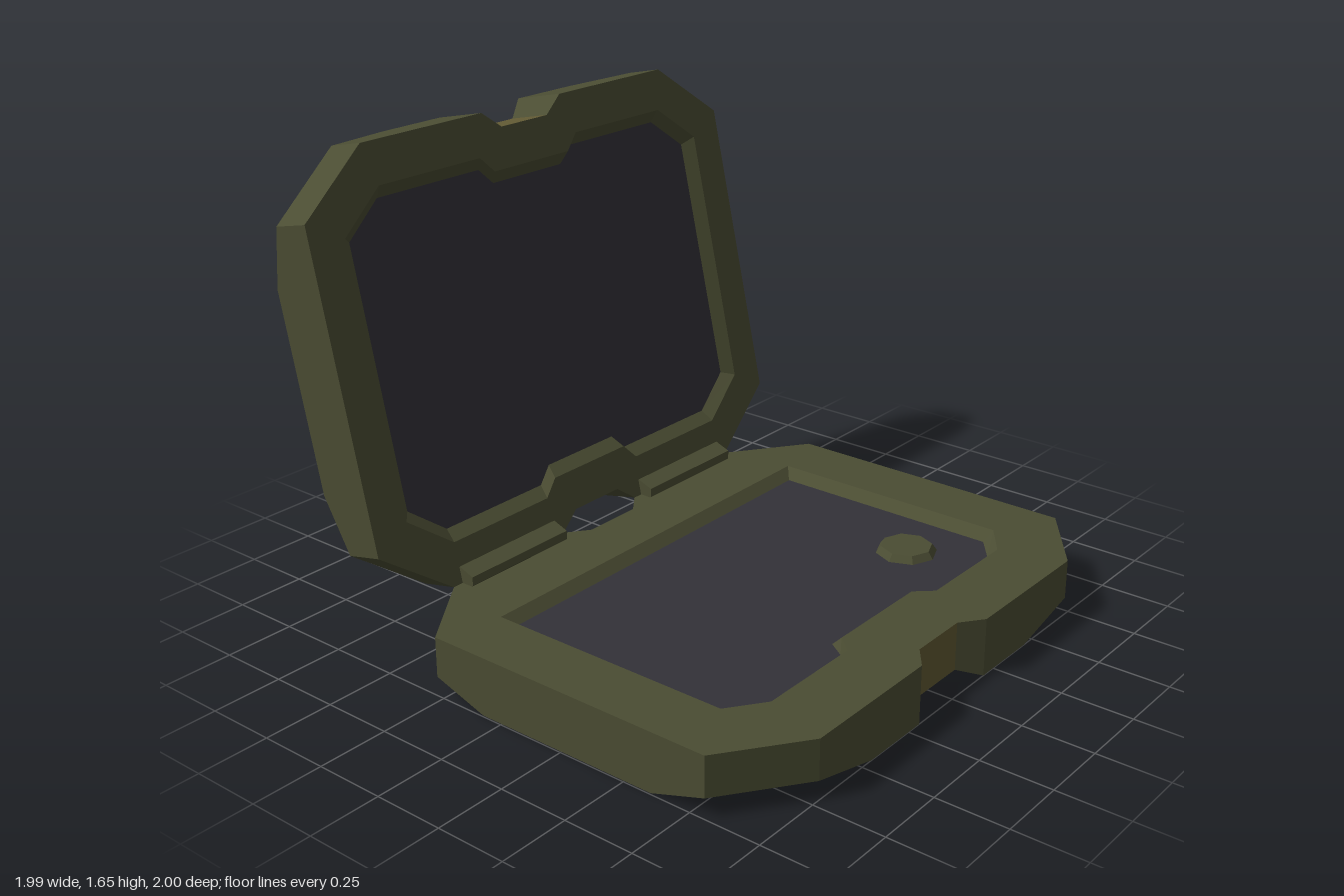
import * as THREE from 'three';
import { mergeGeometries } from 'three/addons/utils/BufferGeometryUtils.js';

const TOP = 0.205, FLOOR = 0.17, CHANNEL = 0.035, CHAMFER = 0.065;

const paint = (color) => new THREE.MeshStandardMaterial({ color, flatShading: true, side: THREE.DoubleSide });

// Outlines are lists of [x, z], running from front to back on the +x side
const mirrorZ = (q) => [...q, ...q.map(([x, z]) => [x, -z]).reverse()];
const closeX = (h) => [...h, ...h.map(([x, z]) => [-x, z]).reverse()];
const turn = (h) => h.map(([x, z]) => [-x, -z]);
const lift = (pts, y) => pts.map(([x, z]) => [x, y, z]);

// Flat polygon at height y, facing up or down, with an optional hole
function cap(pts, y, up, hole) {
  const s = up ? -1 : 1;
  const flat = (list) => list.map(([x, z]) => new THREE.Vector2(x, s * z));
  const shape = new THREE.Shape(flat(pts));
  if (hole) shape.holes.push(new THREE.Path(flat(hole)));
  const g = new THREE.ShapeGeometry(shape).toNonIndexed();
  g.rotateX(s * Math.PI / 2).translate(0, y, 0);
  g.deleteAttribute('uv');
  return g;
}

// Strip of quads between two matching rows of points
function band(a, b, closed = false) {
  const pos = [];
  const n = closed ? a.length : a.length - 1;
  for (let i = 0; i < n; i++) {
    const j = (i + 1) % a.length;
    pos.push(...a[i], ...b[i], ...b[j], ...a[i], ...b[j], ...a[j]);
  }
  const g = new THREE.BufferGeometry();
  g.setAttribute('position', new THREE.Float32BufferAttribute(pos, 3));
  g.computeVertexNormals();
  return g;
}

function addMesh(group, name, geometries, material) {
  const mesh = new THREE.Mesh(mergeGeometries(geometries), material);
  mesh.name = name;
  group.add(mesh);
}

// One half of the case: rim, recess, chamfered shell and a channel in the outer face
function caseHalf(name, opening, floor, channelOuter, channelInner, mats) {
  const group = new THREE.Group();
  group.name = name;

  // Outer edge of a quarter: x, z and height of the lower edge
  const quarter = [
    [0.11, 0.68, CHANNEL], [0.19, 0.74, 0], [0.45, 0.74, 0],
    [0.72, 0.74, CHAMFER], [0.995, 0.54, CHAMFER], [0.995, 0.34, 0],
  ];
  const half = mirrorZ(quarter);
  const heights = [...quarter, ...[...quarter].reverse()].map((p) => p[2]);
  const openLoop = closeX(opening), floorLoop = closeX(floor);

  const shell = [
    cap(closeX(half), TOP, true, openLoop),
    band(lift(floorLoop, FLOOR), lift(openLoop, TOP), true),
  ];
  const outer = mirrorZ(channelOuter), inner = mirrorZ(channelInner);
  const flatHalf = [...outer, [0.45, -0.74], [0.995, -0.34], [0.995, 0.34], [0.45, 0.74]];
  for (const side of [(p) => p, turn]) {
    // side walls, outer face and channel slopes
    const wall = side(half);
    shell.push(band(lift(wall, TOP), wall.map(([x, z], i) => [x, heights[i], z])));
    shell.push(cap(side(flatHalf), 0, false));
    shell.push(band(lift(side(outer), 0), lift(side(inner), CHANNEL)));
  }
  // corner chamfers
  for (const sx of [1, -1]) for (const sz of [1, -1]) {
    const place = (x, y, z) => [sx * x, y, sz * z];
    const a = [place(0.72, CHAMFER, 0.74), place(0.995, CHAMFER, 0.54)];
    const b = [place(0.45, 0, 0.74), place(0.995, 0, 0.34)];
    if (sx * sz < 0) { a.reverse(); b.reverse(); }
    shell.push(band(a, b));
  }
  addMesh(group, name + 'Shell', shell, mats.olive);

  // Channel floor and its two end faces
  const strip = [cap(closeX(inner), CHANNEL, false)];
  const end = [[-0.11, 0.68], [0.11, 0.68]];
  for (const e of [end, turn(end)]) strip.push(band(lift(e, TOP), lift(e, CHANNEL)));
  addMesh(group, name + 'ChannelStrip', strip, mats.tan);

  addMesh(group, name + 'Panel', [cap(floorLoop, FLOOR, true)], mats.dark);
  return group;
}

export function createModel() {
  const model = new THREE.Group();
  model.name = 'foldingCase';
  const mats = { olive: paint(0x4b4d33), tan: paint(0x625a34), dark: paint(0x333238) };

  // Base with a straight channel underneath
  const base = caseHalf('base',
    [[0.2, 0.45], [0.255, 0.51], [0.645, 0.51], [0.77, 0.42], [0.77, -0.475]],
    [[0.2, 0.415], [0.24, 0.475], [0.64, 0.475], [0.73, 0.405], [0.73, -0.44]],
    [[0.19, 0.74]], [[0.11, 0.68]], mats);
  base.position.z = 0.26;
  model.add(base);

  // Lid, tilted back, with a channel that widens in the middle
  const lid = caseHalf('lid',
    mirrorZ([[0.18, 0.541], [0.235, 0.597], [0.68, 0.597], [0.855, 0.465]]),
    mirrorZ([[0.165, 0.5], [0.22, 0.556], [0.67, 0.556], [0.815, 0.445]]),
    [[0.19, 0.74], [0.19, 0.44], [0.48, 0.17]],
    [[0.11, 0.68], [0.11, 0.4], [0.4, 0.14]], mats);
  lid.rotation.x = THREE.MathUtils.degToRad(77.5);
  lid.position.set(0, 0.883, -0.84);
  model.add(lid);

  // Low eight-sided button on the base panel
  const button = new THREE.Mesh(new THREE.CylinderGeometry(0.09, 0.108, 0.025, 8), mats.olive);
  button.name = 'button';
  button.position.set(0.5, FLOOR + 0.012, 0.495);
  model.add(button);

  // Hinge bars, extruded along x
  const profile = [[0.432, 0.24], [0.432, 0.21], [0.48, 0.155], [0.515, 0.175], [0.49, 0.262]];
  const bar = new THREE.ExtrudeGeometry(
    new THREE.Shape(profile.map(([x, y]) => new THREE.Vector2(x, y))), { depth: 0.455, bevelEnabled: false });
  bar.translate(0, 0, -0.2275).rotateY(Math.PI / 2);
  for (const s of [1, -1]) {
    const hinge = new THREE.Mesh(bar, mats.olive);
    hinge.name = s > 0 ? 'leftHinge' : 'rightHinge';
    hinge.position.x = s * 0.4525;
    model.add(hinge);
  }
  return model;
}
